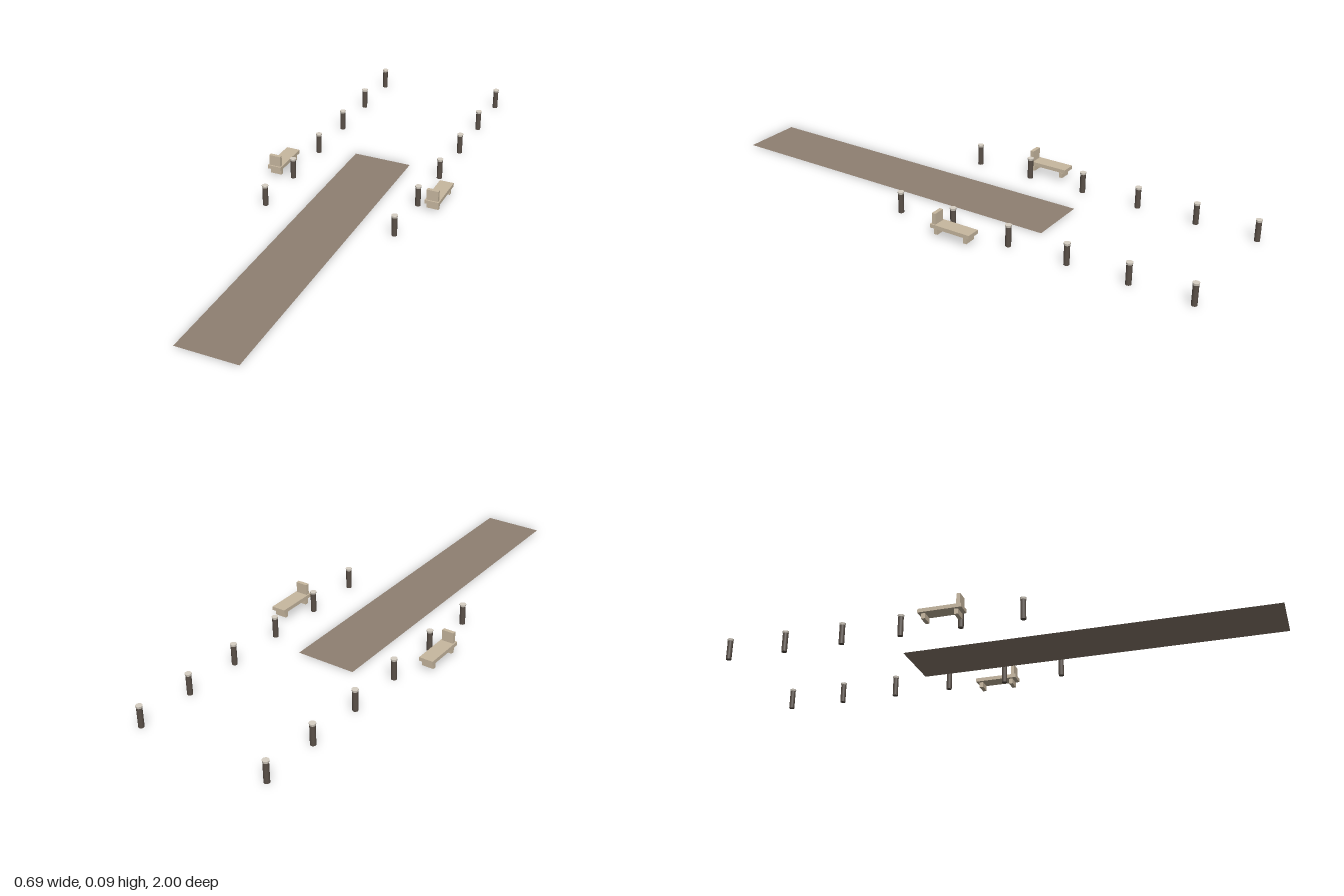
import * as THREE from 'three';

export function createModel() {
  const model = new THREE.Group();
  const mat = (color, extra = {}) => new THREE.MeshStandardMaterial({ color, ...extra });
  const pathMat = mat(0x8f8072, { side: THREE.DoubleSide });
  const postMat = mat(0x5a5048);
  const capMat = mat(0xd8d0c4);
  const benchMat = mat(0xc8b8a0);

  const add = (parent, name, geometry, material, x, y, z) => {
    const mesh = new THREE.Mesh(geometry, material);
    mesh.name = name;
    mesh.position.set(x, y, z);
    parent.add(mesh);
    return mesh;
  };

  // Flat ground strip
  const strip = new THREE.PlaneGeometry(0.228, 1.356).rotateX(-Math.PI / 2);
  add(model, 'path', strip, pathMat, 0, 0.001, 0.322);

  // Bollard: dark post with a pale flared cap
  const postGeo = new THREE.CylinderGeometry(0.0102, 0.0102, 0.073, 12);
  const capGeo = new THREE.CylinderGeometry(0.0122, 0.0108, 0.008, 12);
  const makeBollard = () => {
    const g = new THREE.Group();
    g.name = 'bollard';
    add(g, 'post', postGeo, postMat, 0, 0.0365, 0);
    add(g, 'cap', capGeo, capMat, 0, 0.077, 0);
    return g;
  };

  // Bench running along z, backrest at its front end
  const seatGeo = new THREE.BoxGeometry(0.054, 0.014, 0.16);
  const backGeo = new THREE.BoxGeometry(0.045, 0.042, 0.014);
  const legGeo = new THREE.BoxGeometry(0.045, 0.02, 0.014);
  const makeBench = () => {
    const g = new THREE.Group();
    g.name = 'bench';
    add(g, 'seat', seatGeo, benchMat, 0, 0.041, 0);
    add(g, 'backrest', backGeo, benchMat, 0, 0.068, 0.067);
    for (const z of [-0.06, 0.06]) add(g, 'leg', legGeo, benchMat, 0, 0.021, z);
    return g;
  };

  // Mirrored rows on both sides
  for (const side of [-1, 1]) {
    for (let i = 0; i < 6; i++) {
      const bollard = makeBollard();
      bollard.position.set(side * 0.253, 0, 0.14 - i * 0.2256);
      model.add(bollard);
    }
    const bench = makeBench();
    bench.position.set(side * 0.317, 0, -0.133);
    model.add(bench);
  }
  return model;
}
